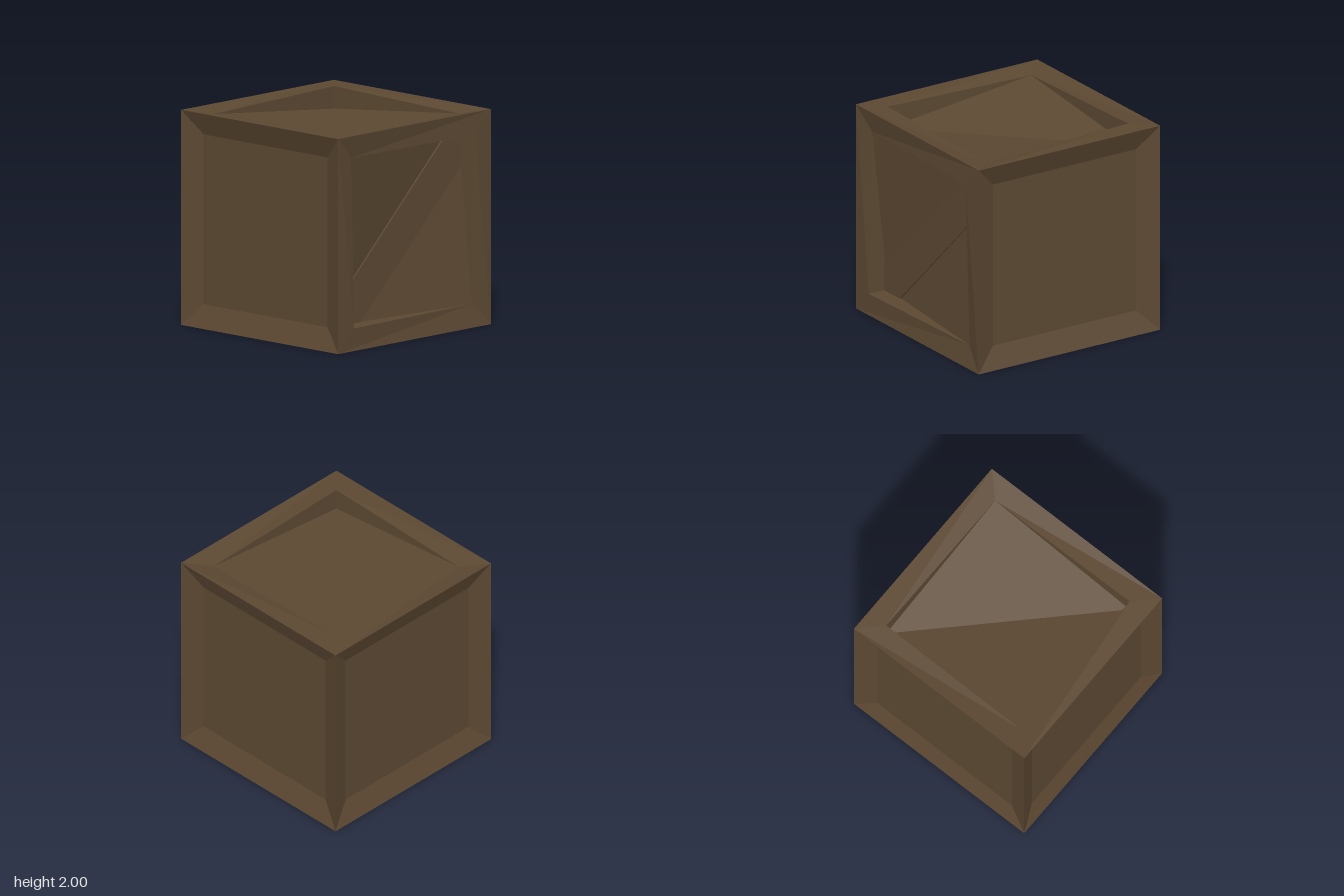
import * as THREE from 'three';

const INNER = 0.79; // half size of the sunken panels
const SIGNS = [[-1, -1], [1, -1], [1, 1], [-1, 1]];

// Square ring of four corners, each sunk below the face by its own depth
const ring = (half, depths) =>
  SIGNS.map(([u, v], i) => [u * half, v * half, 1 - depths[i]]);

// Flat-shaded face: bands between successive rings, then a cap
// folded along the diagonal that starts at corner "fold"
function faceGeometry(rings, fold = 0) {
  const pos = [];
  const tri = (a, b, c) => pos.push(...a, ...b, ...c);
  for (let r = 0; r < rings.length - 1; r++) {
    for (let i = 0; i < 4; i++) {
      const j = (i + 1) % 4;
      const [a, b, c, d] = [rings[r][i], rings[r][j], rings[r + 1][j], rings[r + 1][i]];
      tri(a, b, c);
      tri(a, c, d);
    }
  }
  const cap = rings[rings.length - 1];
  const at = (k) => cap[(fold + k) % 4];
  tri(at(0), at(1), at(2));
  tri(at(0), at(2), at(3));
  const geo = new THREE.BufferGeometry();
  geo.setAttribute('position', new THREE.Float32BufferAttribute(pos, 3));
  geo.computeVertexNormals();
  return geo;
}

// Panel with shallow sloping borders
const bevelPanel = () =>
  faceGeometry([ring(1, [0, 0, 0, 0]), ring(INNER, [0.08, 0.08, 0.08, 0.08])]);

// Framed panel, deepest at two opposite corners
function sunkenPanel(fold) {
  const pick = (deep, shallow) => SIGNS.map((_, i) => (i % 2 === fold ? deep : shallow));
  return faceGeometry(
    [ring(1, [0, 0, 0, 0]), ring(INNER, pick(0, 0.04)), ring(INNER, pick(0.21, 0.04))], fold);
}

export function createModel() {
  const model = new THREE.Group();
  model.name = 'crate';
  const wood = new THREE.MeshStandardMaterial({ color: 0x5c4832 });
  wood.name = 'darkWood';

  const add = (name, geo, rx = 0, ry = 0) => {
    const mesh = new THREE.Mesh(geo, wood);
    mesh.name = name;
    mesh.rotation.set(rx, ry, 0);
    mesh.position.y = 1;
    model.add(mesh);
  };

  // Sloped panels
  add('frontPanel', bevelPanel());
  add('backPanel', bevelPanel(), 0, Math.PI);
  add('rightPanel', bevelPanel(), 0, -Math.PI / 2);

  // Framed panels
  add('leftPanel', sunkenPanel(0), 0, Math.PI / 2);
  add('lid', sunkenPanel(1), -Math.PI / 2);

  // Plain underside
  add('base', faceGeometry([ring(1, [0, 0, 0, 0])]), Math.PI / 2);

  // Diagonal brace fitted into the framed side
  const outline = [[-INNER, -INNER], [-0.53, -INNER], [INNER, 0.49],
    [INNER, INNER], [0.58, INNER], [-INNER, -0.53]];
  const shape = new THREE.Shape(outline.map(([u, v]) => new THREE.Vector2(u, v)));
  const brace = new THREE.ExtrudeGeometry(shape, { depth: 0.043, bevelEnabled: false });
  brace.translate(0, 0, 0.79);
  add('diagonalBrace', brace, 0, Math.PI / 2);

  return model;
}
